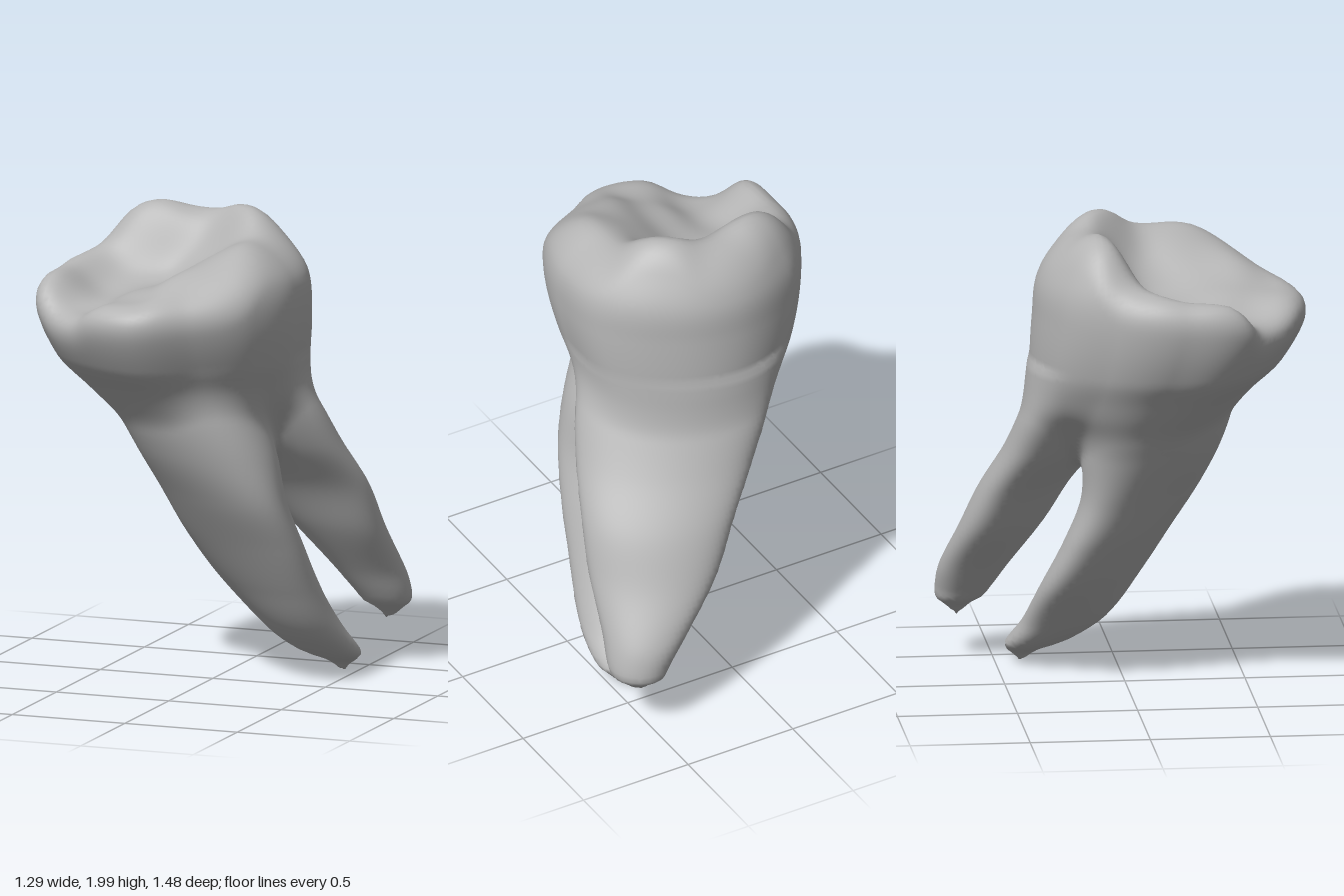
import * as THREE from 'three';

// Root sections, bottom to top: height, centre x, centre z, long radius, short radius, turn in degrees
const FRONT_ROOT = [
  [0.04, 0.43, -0.385, 0.065, 0.05, 42], [0.065, 0.42, -0.36, 0.125, 0.095, 42],
  [0.11, 0.39, -0.305, 0.17, 0.13, 42], [0.2, 0.335, -0.22, 0.22, 0.15, 43],
  [0.4, 0.22, -0.12, 0.305, 0.16, 37], [0.6, 0.145, -0.02, 0.35, 0.172, 34],
  [0.8, 0.085, 0.07, 0.37, 0.195, 35], [1.0, 0.02, 0.11, 0.385, 0.25, 36],
  [1.2, -0.06, 0.135, 0.395, 0.27, 38], [1.4, -0.09, 0.15, 0.36, 0.27, 40],
];
const BACK_ROOT = [
  [0.22, 0.54, -0.645, 0.065, 0.05, 35], [0.245, 0.535, -0.64, 0.11, 0.09, 35],
  [0.29, 0.525, -0.625, 0.132, 0.112, 35], [0.4, 0.475, -0.585, 0.175, 0.137, 35],
  [0.6, 0.375, -0.48, 0.265, 0.155, 32], [0.8, 0.295, -0.385, 0.317, 0.17, 29],
  [1.0, 0.19, -0.26, 0.37, 0.19, 30], [1.2, 0.1, -0.17, 0.4, 0.2, 32],
  [1.4, 0.02, -0.08, 0.37, 0.22, 36],
];
// Crown sections: height, centre x, centre z, radius
const CROWN = [
  [0.93, 0.05, -0.04, 0.04], [1.03, 0.02, -0.03, 0.18], [1.1, 0, 0, 0.27],
  [1.2, -0.035, 0.035, 0.385], [1.3, -0.06, 0.075, 0.46], [1.4, -0.08, 0.12, 0.513],
  [1.6, -0.1, 0.175, 0.558], [1.75, -0.105, 0.18, 0.547], [1.9, -0.12, 0.17, 0.467],
  [2.05, -0.13, 0.15, 0.36],
];
// Crown outline as a radius factor, every 30 degrees from +x towards +z
const OUTLINE = [0.98, 0.96, 0.92, 1.02, 0.985, 1.02, 0.95, 0.95, 1.01, 1.03, 1.02, 1.04];
// Chewing surface: x, z, height of cusps, then rims, hollows and the outer slope
const RELIEF = [
  [0.13, -0.09, 2.055], [-0.33, -0.12, 2.01], [0.17, 0.22, 1.93], [-0.57, 0.3, 1.78], [-0.18, 0.62, 1.69],
  [-0.1, -0.22, 1.95], [0.28, 0.07, 1.88], [0.1, 0.42, 1.83], [-0.4, 0.52, 1.6], [-0.52, 0.02, 1.79],
  [-0.15, 0.17, 1.67], [-0.3, 0.1, 1.66], [0.02, 0.05, 1.75], [-0.13, 0.36, 1.71], [-0.38, 0.3, 1.62],
  [0.05, 0.25, 1.78], [0.12, 0.6, 1.71],
];

// Smooth interpolation of a section table at height y
function sectionAt(rows, y) {
  const last = rows.length - 1;
  if (y <= rows[0][0]) return rows[0];
  if (y >= rows[last][0]) return rows[last];
  let i = 0;
  while (rows[i + 1][0] < y) i++;
  const a = rows[i], b = rows[i + 1];
  const p = rows[Math.max(i - 1, 0)], n = rows[Math.min(i + 2, last)];
  const h = b[0] - a[0], t = (y - a[0]) / h, t2 = t * t, t3 = t2 * t;
  return a.map((v, k) => {
    const m0 = ((b[k] - p[k]) / (b[0] - p[0])) * h;
    const m1 = ((n[k] - a[k]) / (n[0] - a[0])) * h;
    return (2 * t3 - 3 * t2 + 1) * v + (t3 - 2 * t2 + t) * m0 + (3 * t2 - 2 * t3) * b[k] + (t3 - t2) * m1;
  });
}

// Distance past the ends of a table, growing faster above so the top closes quickly
const overrun = (rows, y) => Math.max(rows[0][0] - y, 4 * (y - rows[rows.length - 1][0]), 0);

function smoothMin(a, b, k) {
  const h = Math.max(k - Math.abs(a - b), 0) / k;
  return Math.min(a, b) - h * h * k * 0.25;
}

// Tapering root with elliptical sections
function root(rows, x, y, z) {
  const [, cx, cz, ru, rv, turn] = sectionAt(rows, y);
  const a = THREE.MathUtils.degToRad(turn), c = Math.cos(a), s = Math.sin(a);
  const u = (x - cx) * c + (z - cz) * s, v = (x - cx) * s - (z - cz) * c;
  const k0 = Math.hypot(u / ru, v / rv);
  const k1 = Math.hypot(u / (ru * ru), v / (rv * rv)) + 1e-6;
  const d = k0 < 1e-4 ? -Math.min(ru, rv) : (k0 * (k0 - 1)) / k1;
  return d + overrun(rows, y);
}

function reliefHeight(x, z) {
  let sum = 0, weight = 0;
  for (const [px, pz, h] of RELIEF) {
    const w = Math.exp(-((x - px) ** 2 + (z - pz) ** 2) / 0.019) + 1e-12;
    sum += w * h;
    weight += w;
  }
  return sum / weight;
}

// Crown: rounded outline cut off by the chewing surface
function crown(x, y, z) {
  const [, cx, cz, r] = sectionAt(CROWN, y);
  const dx = x - cx, dz = z - cz;
  const turn = ((Math.atan2(dz, dx) / (Math.PI * 2) + 1) % 1) * 12;
  const i = Math.floor(turn) % 12, t = turn - Math.floor(turn);
  const f = THREE.MathUtils.lerp(OUTLINE[i], OUTLINE[(i + 1) % 12], t * t * (3 - 2 * t));
  const side = Math.hypot(dx, dz) - r * f + overrun(CROWN, y);
  if (y < 1.3) return side;
  return -smoothMin(-side, -(y - reliefHeight(x, z)) * 0.85, 0.13);
}

function tooth(x, y, z) {
  const roots = smoothMin(root(FRONT_ROOT, x, y, z), root(BACK_ROOT, x, y, z), 0.08);
  return smoothMin(roots, crown(x, y, z), 0.12);
}

// Skin a field with quads, one vertex for every grid cell the surface crosses
function skin(field, min, max, step) {
  const n = min.map((m, i) => Math.ceil((max[i] - m) / step) + 1);
  const stride = [1, n[0], n[0] * n[1]];
  const at = (i, j, k) => i + j * stride[1] + k * stride[2];
  const values = new Float32Array(n[0] * n[1] * n[2]);
  for (let k = 0; k < n[2]; k++) for (let j = 0; j < n[1]; j++) for (let i = 0; i < n[0]; i++) {
    values[at(i, j, k)] = field(min[0] + i * step, min[1] + j * step, min[2] + k * step);
  }
  const positions = [], normals = [], indices = [];
  const cell = new Int32Array(values.length).fill(-1);
  for (let k = 0; k < n[2] - 1; k++) for (let j = 0; j < n[1] - 1; j++) for (let i = 0; i < n[0] - 1; i++) {
    const base = at(i, j, k), p = [0, 0, 0];
    let hits = 0;
    for (let corner = 0; corner < 8; corner++) for (let axis = 0; axis < 3; axis++) {
      if (corner & (1 << axis)) continue;
      const o = [corner & 1, (corner >> 1) & 1, corner >> 2];
      const from = base + at(...o);
      const a = values[from], b = values[from + stride[axis]];
      if ((a < 0) === (b < 0)) continue;
      o[axis] += a / (a - b);
      o.forEach((v, q) => { p[q] += v; });
      hits++;
    }
    if (!hits) continue;
    cell[base] = positions.length / 3;
    const [x, y, z] = [i, j, k].map((g, q) => min[q] + (g + p[q] / hits) * step);
    positions.push(x, y, z);
    const e = 0.02;
    const normal = new THREE.Vector3(
      field(x + e, y, z) - field(x - e, y, z),
      field(x, y + e, z) - field(x, y - e, z),
      field(x, y, z + e) - field(x, y, z - e)).normalize();
    normals.push(normal.x, normal.y, normal.z);
  }
  for (let k = 1; k < n[2] - 1; k++) for (let j = 1; j < n[1] - 1; j++) for (let i = 1; i < n[0] - 1; i++) {
    const base = at(i, j, k);
    for (let axis = 0; axis < 3; axis++) {
      const inside = values[base] < 0;
      if (inside === (values[base + stride[axis]] < 0)) continue;
      const sb = stride[(axis + 1) % 3], sc = stride[(axis + 2) % 3];
      const [a, b, c, d] = [base, base - sb, base - sb - sc, base - sc].map((q) => cell[q]);
      if (inside) indices.push(a, b, c, a, c, d);
      else indices.push(a, c, b, a, d, c);
    }
  }
  const geometry = new THREE.BufferGeometry();
  geometry.setAttribute('position', new THREE.Float32BufferAttribute(positions, 3));
  geometry.setAttribute('normal', new THREE.Float32BufferAttribute(normals, 3));
  geometry.setIndex(indices);
  return geometry;
}

export function createModel() {
  const model = new THREE.Group();
  model.name = 'molar';
  const enamel = new THREE.MeshStandardMaterial({ color: 0xb4b4b4 });
  enamel.name = 'grey enamel';

  // Crown and both roots in one seamless skin, standing on the ground
  const geometry = skin(tooth, [-0.8, -0.1, -0.9], [0.8, 2.2, 0.9], 0.025);
  geometry.computeBoundingBox();
  const { min, max } = geometry.boundingBox;
  geometry.translate(-(min.x + max.x) / 2, -min.y, -(min.z + max.z) / 2);

  const mesh = new THREE.Mesh(geometry, enamel);
  mesh.name = 'crownAndRoots';
  model.add(mesh);
  return model;
}
